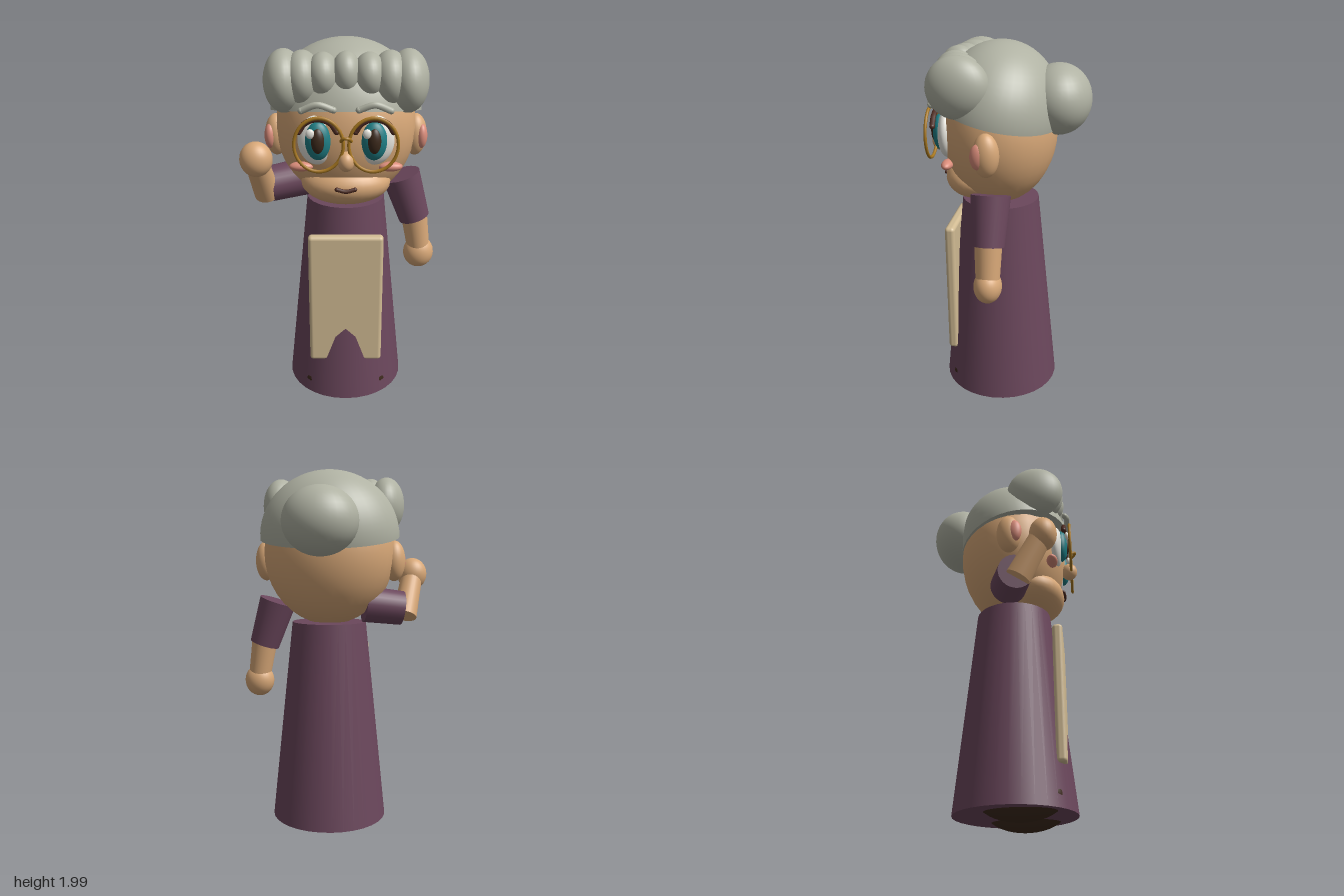
import * as THREE from 'three';
import { RoundedBoxGeometry } from 'three/addons/geometries/RoundedBoxGeometry.js';

const paint = (name, color) => {
  const m = new THREE.MeshStandardMaterial({ color });
  m.name = name;
  return m;
};

export function createModel() {
  const model = new THREE.Group();
  model.name = 'grandmother';
  const skin = paint('skin', 0xd8a878);
  const hair = paint('greyHair', 0xb0b2a3);
  const plum = paint('plumDress', 0x6b475c);
  const cream = paint('creamApron', 0xd2bc94);
  const brown = paint('darkBrown', 0x3d2a1c);
  const gold = paint('goldFrame', 0xa87820);
  const pink = paint('pinkBlush', 0xdb8d7b);
  const white = paint('eyeWhite', 0xe8e6de);
  const teal = paint('tealIris', 0x1f7f86);
  const lash = paint('redBrown', 0x4f2c22);

  const add = (name, geometry, material, x = 0, y = 0, z = 0) => {
    const mesh = new THREE.Mesh(geometry, material);
    mesh.name = name;
    mesh.position.set(x, y, z);
    model.add(mesh);
    return mesh;
  };
  const ball = (name, material, [x, y, z], [rx, ry, rz]) => {
    const mesh = add(name, new THREE.SphereGeometry(1, 32, 20), material, x, y, z);
    mesh.scale.set(rx, ry, rz);
    return mesh;
  };
  // Tapered limb from point a to point b
  const limb = (name, material, a, b, ra, rb) => {
    const from = new THREE.Vector3(...a), to = new THREE.Vector3(...b);
    const axis = to.clone().sub(from);
    const mesh = add(name, new THREE.CylinderGeometry(rb, ra, axis.length(), 28), material);
    mesh.position.copy(from).add(to).multiplyScalar(0.5);
    mesh.quaternion.setFromUnitVectors(new THREE.Vector3(0, 1, 0), axis.normalize());
  };
  // Round-ended strand through a few points
  const strand = (name, material, points, r) => {
    const pts = points.map(p => new THREE.Vector3(...p));
    add(name, new THREE.TubeGeometry(new THREE.CatmullRomCurve3(pts), 20, r, 8), material);
    for (const p of [points[0], points[points.length - 1]]) ball(name + 'End', material, p, [r, r, r]);
  };

  // Dress and apron; the skirt swells through the lower apron
  add('dress', new THREE.CylinderGeometry(0.205, 0.32, 1.11, 32), plum, 0, 0.615, 0.05);
  add('apron', new RoundedBoxGeometry(0.39, 0.75, 0.055, 4, 0.02), cream, 0, 0.66, 0.298);

  // Head and jaw
  ball('head', skin, [0, 1.55, 0.05], [0.36, 0.395, 0.3]);
  ball('jaw', skin, [0, 1.29, 0.17], [0.23, 0.115, 0.17]);
  ball('nose', skin, [0, 1.46, 0.375], [0.04, 0.05, 0.045]);
  strand('mouth', lash, [[-0.045, 1.302, 0.337], [0, 1.293, 0.342], [0.045, 1.302, 0.337]], 0.011);

  // Hair cap, tilted up at the front
  const cap = add('hairCap', new THREE.SphereGeometry(1, 40, 16, 0, Math.PI * 2, 0, Math.PI / 2), hair, 0, 1.635, 0.06);
  cap.scale.set(0.385, 0.362, 0.32);
  cap.rotation.x = -0.21;
  const under = new THREE.Mesh(new THREE.CircleGeometry(1, 40), hair);
  under.name = 'hairUnderside';
  under.rotation.x = Math.PI / 2;
  cap.add(under);
  ball('bun', hair, [0, 1.71, -0.25], [0.2, 0.18, 0.17]);

  // Row of curls growing toward the sides: x, y, z, rx, r
  ball('frontCurl', hair, [0, 1.86, 0.26], [0.07, 0.103, 0.095]);
  const curls = [[0.11, 1.85, 0.25, 0.078, 0.11], [0.21, 1.83, 0.222, 0.09, 0.135], [0.3, 1.812, 0.203, 0.1, 0.157]];

  for (const s of [-1, 1]) {
    const side = s > 0 ? 'left' : 'right';
    for (const [x, y, z, rx, r] of curls) ball(side + 'Curl', hair, [s * x, y, z], [rx, r * 0.97, r]);

    ball(side + 'Shoe', brown, [s * 0.147, 0.128, 0.09], [0.13, 0.12, 0.22]);
    ball(side + 'Ear', skin, [s * 0.358, 1.505, 0.06], [0.06, 0.11, 0.066]);
    ball(side + 'InnerEar', pink, [s * 0.388, 1.505, 0.093], [0.03, 0.065, 0.04]);
    ball(side + 'Cheek', pink, [s * 0.22, 1.405, 0.285], [0.06, 0.024, 0.03]);

    // Eye built up in layers
    const ex = s * 0.135;
    ball(side + 'Eye', white, [ex, 1.545, 0.3], [0.1, 0.125, 0.048]);
    ball(side + 'Iris', teal, [ex, 1.55, 0.335], [0.062, 0.095, 0.04]);
    ball(side + 'Pupil', brown, [ex, 1.555, 0.355], [0.036, 0.065, 0.03]);
    ball(side + 'Highlight', white, [ex - 0.035, 1.595, 0.37], [0.021, 0.024, 0.013]);
    strand(side + 'Lash', lash, [[-0.09, 0.05], [-0.06, 0.092], [0, 0.112], [0.06, 0.092], [0.09, 0.05]]
      .map(([x, y]) => [ex + x, 1.55 + y, 0.355]), 0.014);
    strand(side + 'Brow', hair, [[-0.075, 1.705, 0.362], [0, 1.735, 0.375], [0.075, 1.71, 0.368]]
      .map(([x, y, z]) => [ex + s * -x, y, z]), 0.016);

    // Spectacle rim
    const rim = add(side + 'Rim', new THREE.TorusGeometry(0.117, 0.008, 10, 48), gold, s * 0.13, 1.545, 0.387);
    rim.scale.y = 1.12;
  }
  strand('bridge', gold, [[-0.024, 1.565, 0.387], [-0.015, 1.58, 0.405], [0, 1.585, 0.412], [0.015, 1.58, 0.405], [0.024, 1.565, 0.387]], 0.008);

  // Lowered left arm
  limb('leftSleeve', plum, [0.293, 1.28, 0.05], [0.373, 1.035, 0.05], 0.102, 0.083);
  limb('leftForearm', skin, [0.37, 1.07, 0.05], [0.403, 0.86, 0.05], 0.072, 0.062);
  ball('leftHand', skin, [0.405, 0.825, 0.05], [0.083, 0.09, 0.073]);

  // Raised right arm
  limb('rightSleeve', plum, [-0.2, 1.27, 0.04], [-0.4, 1.245, 0.1], 0.1, 0.094);
  limb('rightForearm', skin, [-0.415, 1.2, 0.115], [-0.445, 1.4, 0.23], 0.068, 0.06);
  ball('rightHand', skin, [-0.447, 1.43, 0.25], [0.083, 0.09, 0.073]);

  model.position.x = 0.017;
  const root = new THREE.Group();
  root.name = 'figure';
  root.add(model);
  return root;
}
